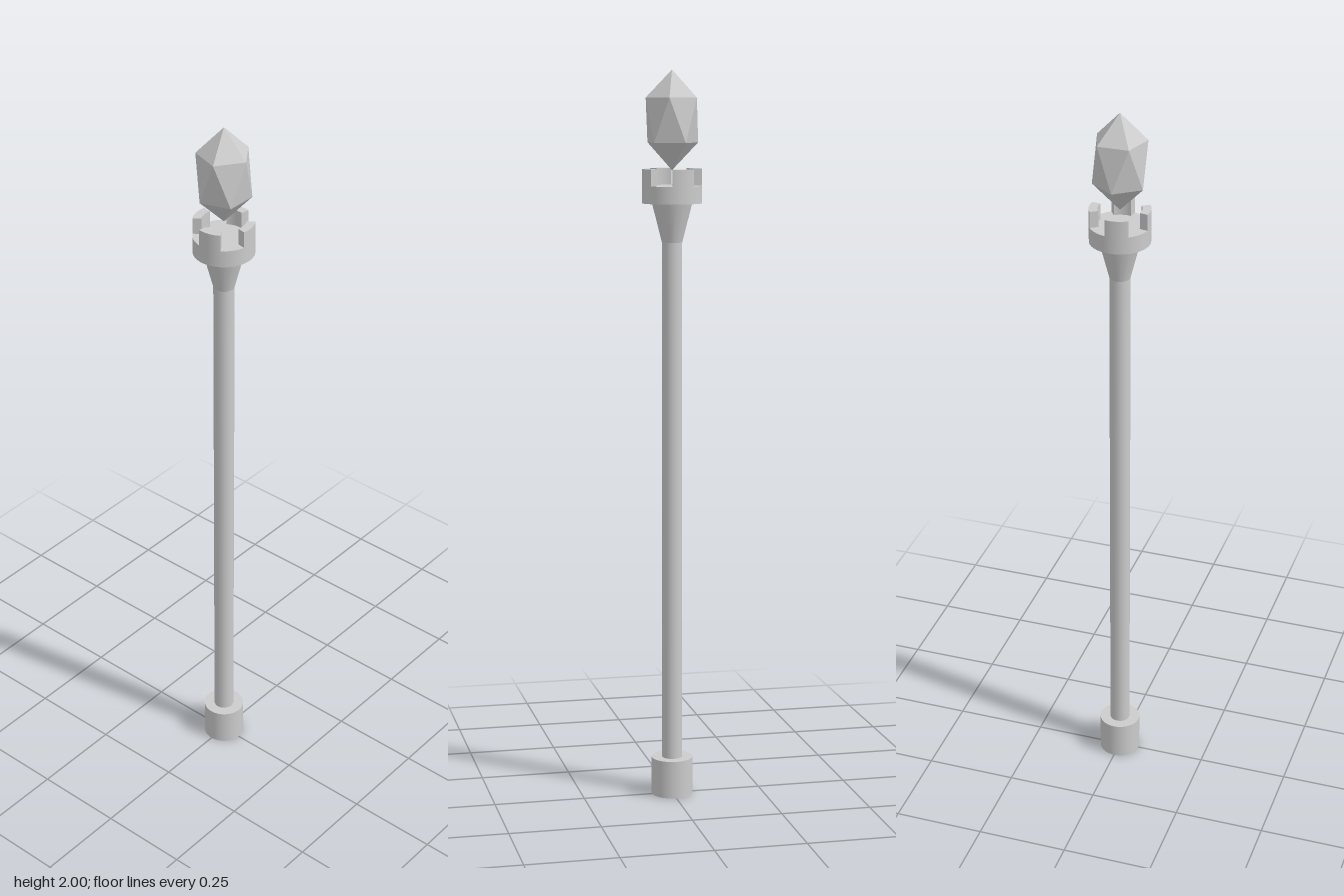
import * as THREE from 'three';

export function createModel() {
  const model = new THREE.Group();
  const material = new THREE.MeshStandardMaterial({ color: 0xcccccc });
  const faceted = new THREE.MeshStandardMaterial({ color: 0xcccccc, flatShading: true });

  const add = (name, geometry, y, mat = material) => {
    const mesh = new THREE.Mesh(geometry, mat);
    mesh.name = name;
    mesh.position.y = y;
    model.add(mesh);
    return mesh;
  };
  const cylinder = (name, top, bottom, y0, y1, sides = 32) =>
    add(name, new THREE.CylinderGeometry(top, bottom, y1 - y0, sides), (y0 + y1) / 2);

  // Pole: foot cap, long shaft, flared neck
  cylinder('footCap', 0.057, 0.057, 0, 0.105);
  cylinder('shaft', 0.028, 0.028, 0.1, 1.55, 16);
  cylinder('flaredNeck', 0.055, 0.028, 1.54, 1.645, 16);

  // Crown: round base with four upright curved teeth
  const outer = 0.081, inner = 0.058;
  cylinder('crownBase', outer, outer, 1.645, 1.692, 48);
  const rad = THREE.MathUtils.degToRad;
  for (let i = 0; i < 4; i++) {
    const a = rad(-101 + i * 90), b = rad(-56 + i * 90);
    const shape = new THREE.Shape();
    shape.absarc(0, 0, outer, a, b, false);
    shape.absarc(0, 0, inner, b, a, true);
    shape.closePath();
    const tooth = new THREE.ExtrudeGeometry(shape, { depth: 0.047, bevelEnabled: false, curveSegments: 6 });
    tooth.rotateX(-Math.PI / 2);
    add('crownTooth', tooth, 1.69);
  }

  // Crystal: stretched twenty-sided gem standing on one point
  const gem = new THREE.IcosahedronGeometry(1, 0);
  const p = gem.attributes.position;
  const tip = new THREE.Vector3().fromBufferAttribute(p, 0).normalize();
  gem.applyQuaternion(new THREE.Quaternion().setFromUnitVectors(tip, new THREE.Vector3(0, 1, 0)));
  // Turn the gem so a corner of its upper ring points to +x
  for (let i = 0; i < p.count; i++) {
    if (p.getY(i) > 0.3 && p.getY(i) < 0.6) {
      gem.rotateY(Math.atan2(p.getZ(i), p.getX(i)));
      break;
    }
  }
  gem.scale(0.0805, 0.1335, 0.0805);
  add('crystal', gem, 1.8665, faceted);

  return model;
}
